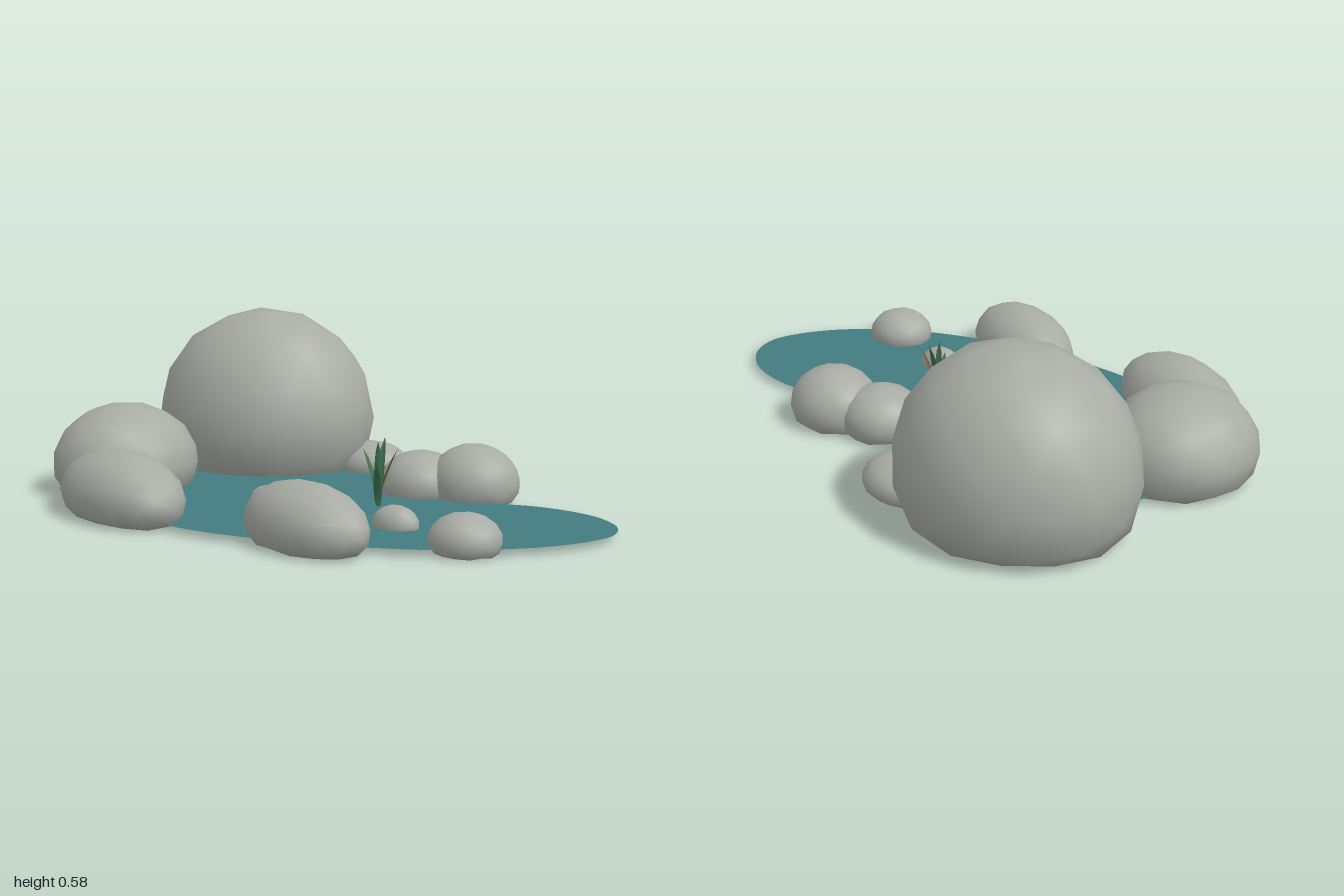
import * as THREE from 'three';
import { mergeVertices } from 'three/addons/utils/BufferGeometryUtils.js';

const material = (name, color, side = THREE.FrontSide) =>
  Object.assign(new THREE.MeshStandardMaterial({ color, side }), { name });

// Smooth faceted boulder, cut flat where it meets the ground.
function rock(name, [x, z, rx, rz, height, turn = 0], mat) {
  let geo = new THREE.IcosahedronGeometry(1, 2);
  geo.deleteAttribute('uv');
  geo.deleteAttribute('normal');
  geo = mergeVertices(geo, 1e-4);
  geo.rotateY(x * 5 + z * 3); // vary the facets
  geo.scale(rx, height * 0.67, rz);
  geo.rotateY(turn);
  geo.translate(0, height * 0.33, 0);
  const pos = geo.attributes.position;
  for (let i = 0; i < pos.count; i++) pos.setY(i, Math.max(0, pos.getY(i)));
  geo.computeVertexNormals();
  const mesh = new THREE.Mesh(geo, mat);
  mesh.name = name;
  mesh.position.set(x, 0, z);
  return mesh;
}

// Pointed, slightly folded blade that bows outward from the base to its tip.
function blade(base, tip, mat) {
  const steps = 6, verts = [], index = [];
  const out = new THREE.Vector3(tip.x - base.x, 0, tip.z - base.z).normalize();
  const side = new THREE.Vector3(-out.z, 0, out.x);
  for (let i = 0; i <= steps; i++) {
    const t = i / steps;
    const p = base.clone().lerp(tip, Math.pow(t, 1.4));
    p.y = base.y + (tip.y - base.y) * t;
    const w = 0.014 * (i === steps ? 0 : 0.35 + 0.65 * Math.sin(Math.PI * Math.pow(t, 0.8)));
    const left = p.clone().addScaledVector(side, -w).addScaledVector(out, -w * 0.4);
    const right = p.clone().addScaledVector(side, w).addScaledVector(out, -w * 0.4);
    for (const v of [left, p, right]) verts.push(v.x, v.y, v.z);
    if (i < steps) {
      for (let k = 0; k < 2; k++) {
        const a = i * 3 + k;
        index.push(a, a + 1, a + 3, a + 1, a + 4, a + 3);
      }
    }
  }
  const geo = new THREE.BufferGeometry();
  geo.setAttribute('position', new THREE.Float32BufferAttribute(verts, 3));
  geo.setIndex(index);
  geo.computeVertexNormals();
  const mesh = new THREE.Mesh(geo, mat);
  mesh.name = 'plantBlade';
  return mesh;
}

export function createModel() {
  const model = new THREE.Group();
  model.name = 'rockPond';
  const stone = material('stone grey', 0xa9aca5);
  const waterMat = material('pond teal', 0x437c80, THREE.DoubleSide);
  const green = material('leaf green', 0x3f6f50, THREE.DoubleSide);
  const olive = material('leaf olive', 0x5f6238, THREE.DoubleSide);

  // Water surface: a closed smooth shoreline (x, z)
  const shore = [
    [0.995, 0.07], [0.965, -0.04], [0.87, -0.13], [0.75, -0.172], [0.62, -0.18], [0.5, -0.155],
    [0.34, -0.13], [0.19, -0.155], [0.075, -0.25], [0, -0.36], [-0.1, -0.42], [-0.28, -0.43],
    [-0.5, -0.38], [-0.69, -0.25], [-0.785, -0.09], [-0.77, 0.14], [-0.66, 0.38], [-0.47, 0.56],
    [-0.25, 0.645], [-0.1, 0.658], [0.05, 0.65], [0.25, 0.62], [0.44, 0.57], [0.6, 0.505],
    [0.78, 0.39], [0.89, 0.285], [0.965, 0.17],
  ];
  const curve = new THREE.CatmullRomCurve3(shore.map(([x, z]) => new THREE.Vector3(x, -z, 0)), true);
  const outline = curve.getPoints(120).slice(0, -1).map((p) => new THREE.Vector2(p.x, p.y));
  const water = new THREE.Mesh(new THREE.ShapeGeometry(new THREE.Shape(outline)), waterMat);
  water.name = 'water';
  water.rotation.x = -Math.PI / 2;
  water.position.y = 0.022;
  model.add(water);

  // Rocks: x, z, radius x, radius z, height, turn
  const rocks = {
    largeBoulder: [-0.555, -0.395, 0.405, 0.36, 0.585],
    leftBankRock: [-0.757, 0.195, 0.245, 0.262, 0.305],
    frontLeftRock: [-0.527, 0.525, 0.3, 0.168, 0.215, -0.44],
    frontRightRock: [0.2, 0.573, 0.262, 0.15, 0.2, -0.4],
    smallBankRock: [0.66, 0.412, 0.116, 0.109, 0.125],
    backPairRockA: [0.19, -0.198, 0.142, 0.14, 0.165],
    backPairRockB: [0.368, -0.24, 0.158, 0.147, 0.197],
    backRock: [-0.155, -0.475, 0.148, 0.122, 0.117, -0.3],
    pebbleLeft: [-0.173, 0.207, 0.063, 0.053, 0.078, -0.3],
    pebbleRight: [0.362, 0.3, 0.08, 0.058, 0.092],
  };
  for (const [name, spec] of Object.entries(rocks)) model.add(rock(name, spec, stone));

  // Water plant: blade tips fanned round one base
  const plant = new THREE.Group();
  plant.name = 'waterPlant';
  const base = new THREE.Vector3(0.175, 0.018, 0.075);
  const tips = [
    [0.115, 0.21, 0.07], [0.17, 0.245, 0.02], [0.23, 0.215, 0.04], [0.203, 0.175, 0.14], [0.178, 0.24, 0.082],
  ];
  tips.forEach((t, i) => plant.add(blade(base, new THREE.Vector3(...t), i % 3 === 2 ? olive : green)));
  model.add(plant);
  return model;
}
